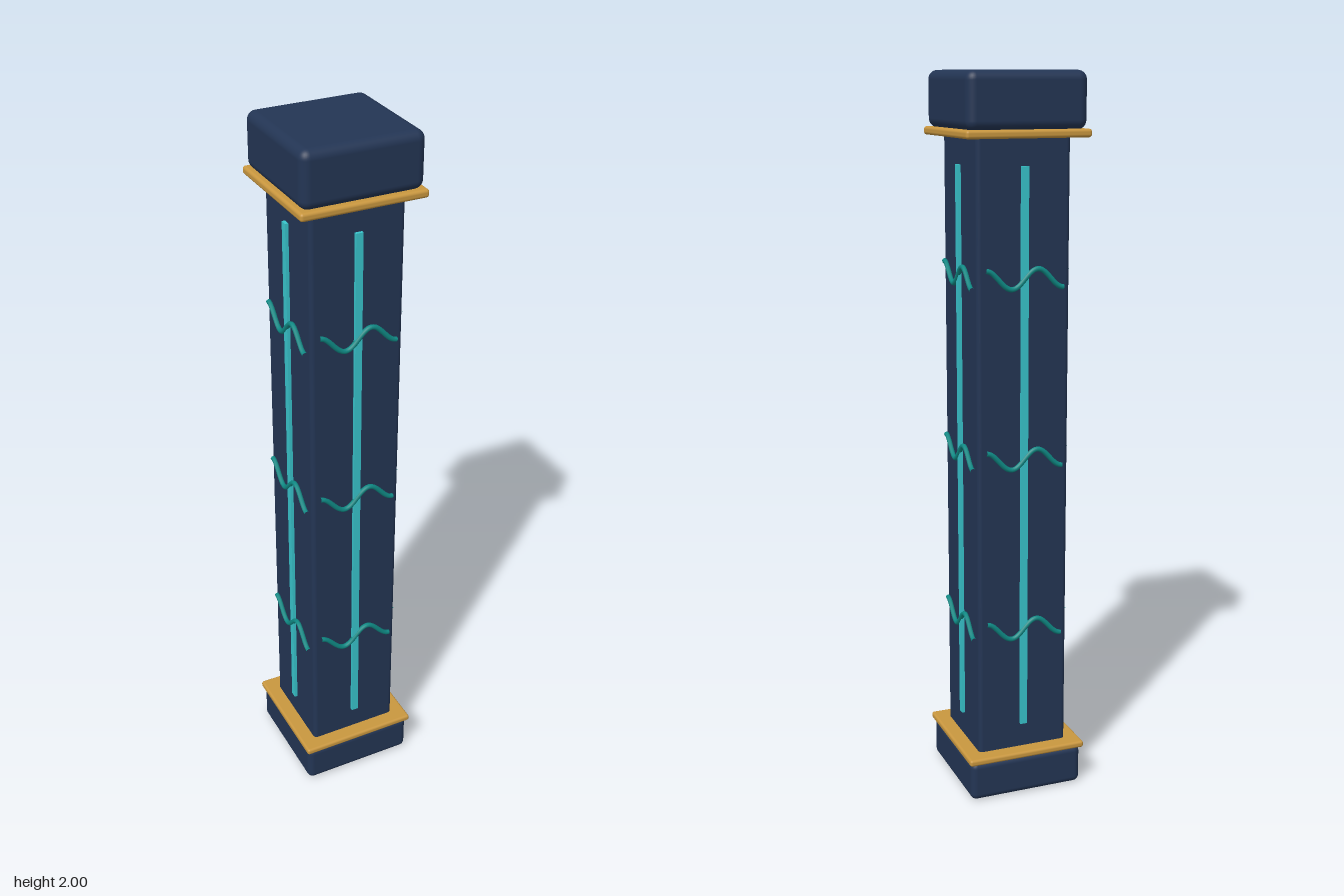
import * as THREE from 'three';
import { RoundedBoxGeometry } from 'three/addons/geometries/RoundedBoxGeometry.js';

const mat = (name, color) => Object.assign(new THREE.MeshStandardMaterial({ color }), { name });

export function createModel() {
  const navy = mat('navy stone', 0x233554);
  const gold = mat('gold trim', 0xc9973f);
  const cyan = mat('cyan inlay', 0x38c4cc);
  const teal = mat('teal wave', 0x0f8a85);
  const model = new THREE.Group();
  model.name = 'pillar';

  // Square rounded block between two heights
  const block = (name, width, y0, y1, radius, material) => {
    const mesh = new THREE.Mesh(new RoundedBoxGeometry(width, y1 - y0, width, 4, radius), material);
    mesh.name = name;
    mesh.position.y = (y0 + y1) / 2;
    model.add(mesh);
  };
  block('base', 0.332, 0, 0.113, 0.018, navy);
  block('lowerTrim', 0.346, 0.11, 0.129, 0.007, gold);
  block('shaft', 0.262, 0.1, 1.86, 0.012, navy);
  block('upperTrim', 0.346, 1.831, 1.853, 0.008, gold);
  block('cap', 0.332, 1.85, 2, 0.025, navy);

  // Three-half-period wave lying across one face
  const points = [];
  for (let i = 0; i <= 24; i++) {
    const t = i / 24;
    points.push(new THREE.Vector3((t - 0.5) * 0.22, 0.026 * Math.cos(t * 3 * Math.PI), 0));
  }
  const waveGeometry = new THREE.TubeGeometry(new THREE.CatmullRomCurve3(points), 48, 0.007, 8);
  const stripGeometry = new THREE.BoxGeometry(0.02, 1.56, 0.016);

  // Same inlays on all four faces
  for (let side = 0; side < 4; side++) {
    const face = new THREE.Group();
    face.name = 'faceInlay';
    face.rotation.y = side * Math.PI / 2;
    const strip = new THREE.Mesh(stripGeometry, cyan);
    strip.name = 'lightStrip';
    strip.position.set(0, 0.98, 0.132);
    face.add(strip);
    for (const y of [0.489, 0.979, 1.469]) {
      const wave = new THREE.Mesh(waveGeometry, teal);
      wave.name = 'wave';
      wave.position.set(0, y, 0.138);
      face.add(wave);
    }
    model.add(face);
  }
  return model;
}
